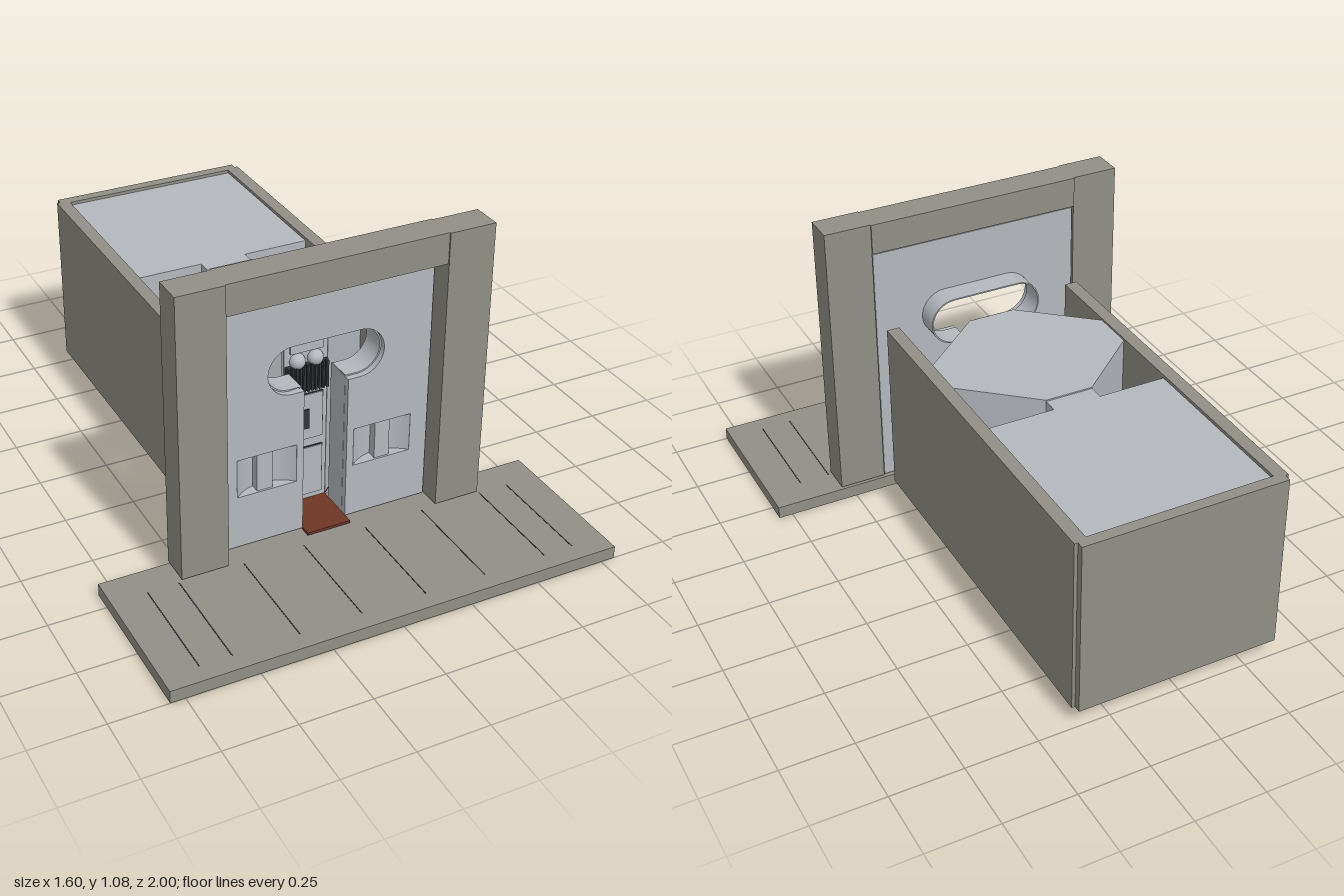
import * as THREE from 'three';

const mat = (name, color, side = THREE.FrontSide) => {
  const m = new THREE.MeshStandardMaterial({ color, side });
  m.name = name;
  return m;
};

export function createModel() {
  const group = new THREE.Group();
  const stone = mat('stone grey', 0x918f86);
  const metal = mat('pale metal', 0xb4b8bd, THREE.DoubleSide);
  const brown = mat('red brown floor', 0x703626);
  const dark = mat('dark grey', 0x34363a);

  const add = (name, geometry, material) => {
    const mesh = new THREE.Mesh(geometry, material);
    mesh.name = name;
    group.add(mesh);
    return mesh;
  };
  // Box given by its limits on each axis
  const box = (name, material, x0, x1, y0, y1, z0, z1) => {
    const g = new THREE.BoxGeometry(x1 - x0, y1 - y0, z1 - z0);
    g.translate((x0 + x1) / 2, (y0 + y1) / 2, (z0 + z1) / 2);
    return add(name, g, material);
  };
  // Upright sheet cut from an x-y shape
  const sheet = (name, material, shape, z0, z1) => {
    const g = new THREE.ExtrudeGeometry(shape, { depth: z1 - z0, bevelEnabled: false, curveSegments: 20 });
    g.translate(0, 0, z0);
    return add(name, g, material);
  };
  // Flat slab cut from an x-z plan
  const slab = (name, material, shape, y0, y1) => {
    const g = new THREE.ExtrudeGeometry(shape, { depth: y1 - y0, bevelEnabled: false, curveSegments: 16 });
    g.rotateX(Math.PI / 2);
    g.translate(0, y1, 0);
    return add(name, g, material);
  };
  const plan = (pts) => new THREE.Shape(pts.map(([x, z]) => new THREE.Vector2(x, z)));

  // Front platform with thin grooves
  box('platform', stone, -0.8, 0.8, 0, 0.045, 0.43, 1);
  for (const s of [-1, 1]) {
    for (const x of [0.115, 0.335, 0.565, 0.675]) {
      box('platformGroove', dark, s * x - 0.002, s * x + 0.002, 0.04, 0.046, 0.54, 0.935);
    }
  }

  // Gate frame
  box('leftPillar', stone, 0.388, 0.555, 0.055, 1.083, 0.43, 0.54);
  box('rightPillar', stone, -0.555, -0.388, 0.055, 1.083, 0.43, 0.54);
  box('lintel', stone, -0.388, 0.388, 0.973, 1.083, 0.425, 0.535);

  // Front panel with a keyhole opening: rounded window above a doorway
  const cx = 0.122, cy = 0.6775, half = Math.PI / 2;
  const panel = new THREE.Shape();
  panel.moveTo(-0.384, 0.055);
  panel.lineTo(-0.08, 0.055);
  panel.lineTo(-0.08, cy - 0.0875);
  panel.absarc(-cx, cy, 0.0875, -half, half, true);
  panel.absarc(cx, cy, 0.0875, half, -half, true);
  panel.lineTo(0.08, cy - 0.0875);
  panel.lineTo(0.08, 0.055);
  panel.lineTo(0.384, 0.055);
  panel.lineTo(0.384, 0.965);
  panel.lineTo(-0.384, 0.965);
  panel.closePath();
  for (const s of [-1, 1]) {
    const a = s * 0.2125 - 0.1075, b = s * 0.2125 + 0.1075;
    panel.holes.push(new THREE.Path([[a, 0.25], [b, 0.25], [b, 0.393], [a, 0.393]].map(([x, y]) => new THREE.Vector2(x, y))));
  }
  sheet('frontPanel', metal, panel, 0.435, 0.462);

  // Window sleeve, open where it meets the doorway
  const sleeve = new THREE.Shape();
  sleeve.moveTo(-0.08, cy - 0.0875);
  sleeve.absarc(-cx, cy, 0.0875, -half, half, true);
  sleeve.absarc(cx, cy, 0.0875, half, -half, true);
  sleeve.lineTo(0.08, cy - 0.0875);
  sleeve.lineTo(0.08, cy - 0.0825);
  sleeve.absarc(cx, cy, 0.0825, -half, half, false);
  sleeve.absarc(-cx, cy, 0.0825, half, 3 * half, false);
  sleeve.lineTo(-0.08, cy - 0.0825);
  sleeve.closePath();
  sheet('windowSleeve', metal, sleeve, 0.352, 0.44);

  for (const s of [-1, 1]) {
    // Doorway side walls
    box('doorwayWall', metal, s * 0.083 - 0.004, s * 0.083 + 0.004, 0.055, 0.592, 0.345, 0.44);

    // Curved handle niches with an upright grip
    const r = 0.151, t = 0.79;
    const back = new THREE.CylinderGeometry(r, r, 0.143, 16, 1, true, Math.PI - t, 2 * t);
    back.translate(s * 0.2125, 0.3215, 0.417 + r);
    add('nicheBack', back, metal);
    const cap = new THREE.Shape();
    cap.absarc(s * 0.2125, 0.417 + r, r, -half - t, -half + t, false);
    cap.closePath();
    slab('nicheFloor', metal, cap, 0.246, 0.25);
    slab('nicheCeiling', metal, cap, 0.393, 0.397);
    box('nicheGrip', metal, s * 0.2175 - 0.0275, s * 0.2175 + 0.0275, 0.25, 0.393, 0.422, 0.455);
  }

  // Equipment column at the inner end of the doorway
  box('columnBack', metal, -0.08, 0.08, 0.055, 0.685, 0.305, 0.318);
  for (const [y0, y1] of [[0.075, 0.27], [0.3, 0.48]]) {
    box('columnPanelSeam', dark, -0.07, 0.066, y0, y1, 0.315, 0.32);
    box('columnPanel', metal, -0.066, 0.062, y0 + 0.004, y1 - 0.004, 0.316, 0.323);
  }
  box('columnLatch', dark, -0.012, 0.012, 0.345, 0.42, 0.32, 0.327);
  box('ribBacking', dark, -0.078, 0.078, 0.5, 0.6, 0.316, 0.33);
  for (let i = 0; i < 11; i++) {
    const x = -0.07 + i * 0.014;
    box('rib', dark, x - 0.004, x + 0.004, 0.5, 0.6, 0.328, 0.342);
  }
  for (const x of [-0.034, 0.032]) {
    const ball = new THREE.SphereGeometry(0.028, 20, 14);
    ball.translate(x, 0.615, 0.322);
    add('columnBall', ball, metal);
  }
  box('columnHead', metal, -0.06, 0.06, 0.645, 0.68, 0.312, 0.325);

  // Eight-sided chamber, link passage and rear room
  const octagon = [[-0.085, -0.26], [0.085, -0.26], [0.328, -0.05], [0.328, 0.1], [0.085, 0.31], [-0.085, 0.31], [-0.328, 0.1], [-0.328, -0.05]];
  slab('chamber', metal, plan(octagon), 0.056, 0.69);
  box('linkPassage', metal, -0.085, 0.085, 0.056, 0.685, -0.315, -0.255);
  box('rearRoom', metal, -0.326, 0.326, 0.056, 0.685, -0.96, -0.313);

  // Brown floors
  slab('chamberFloor', brown, plan(octagon), 0.048, 0.056);
  box('linkFloor', brown, -0.085, 0.085, 0.048, 0.056, -0.315, -0.255);
  box('rearFloor', brown, -0.326, 0.326, 0.048, 0.056, -0.95, -0.313);
  box('doorwayFloor', brown, -0.08, 0.08, 0.048, 0.058, 0.305, 0.5);

  // Outer enclosure, open at the front
  box('leftOuterWall', stone, 0.326, 0.372, 0.06, 0.697, -0.975, 0.372);
  box('rightOuterWall', stone, -0.372, -0.326, 0.06, 0.697, -0.975, 0.372);
  box('rearOuterWall', stone, -0.36, 0.36, 0.06, 0.697, -1, -0.96);

  return group;
}
